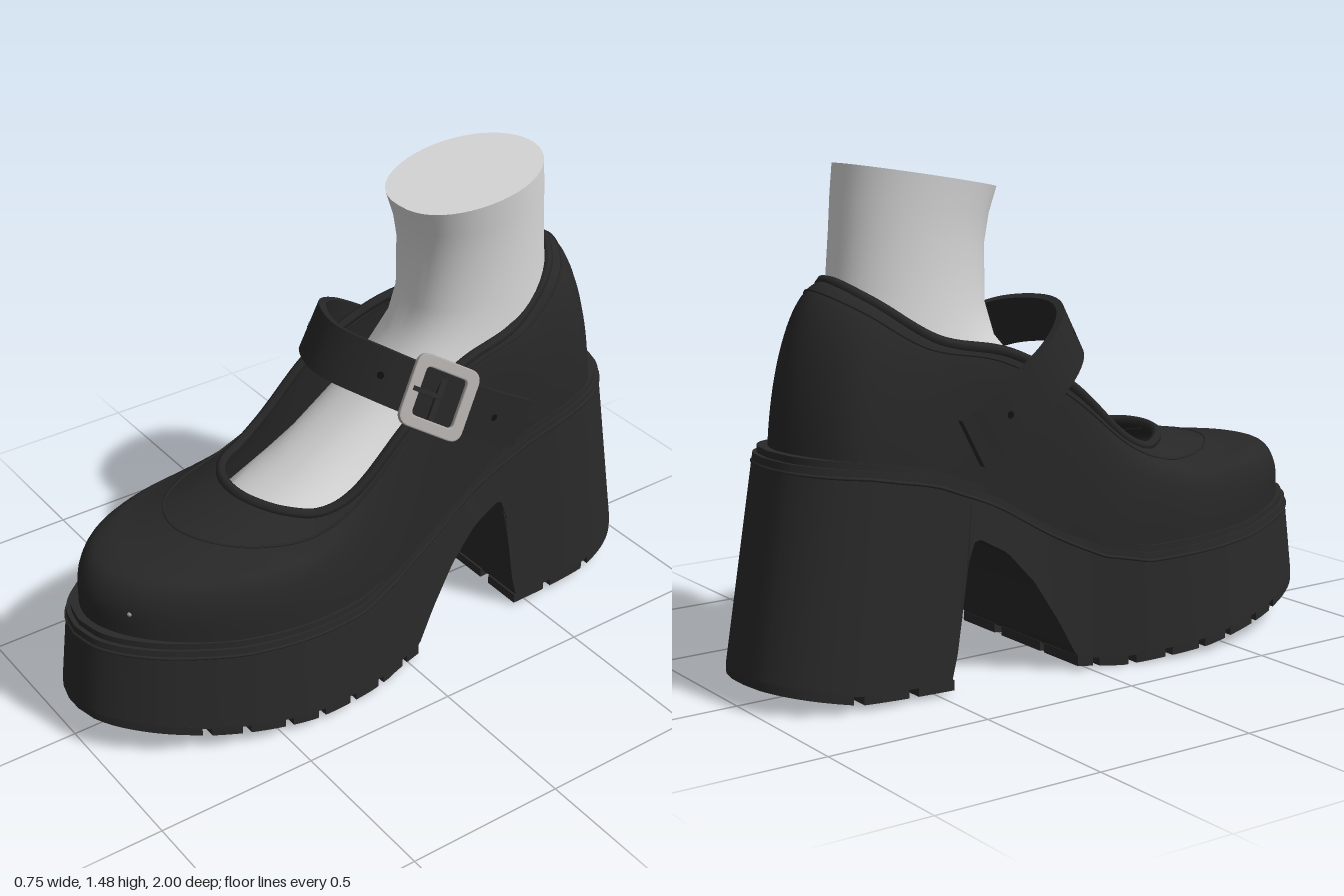
import * as THREE from 'three';
import { toCreasedNormals } from 'three/addons/utils/BufferGeometryUtils.js';

const V = (x, y, z) => new THREE.Vector3(x, y, z);
const lerp = THREE.MathUtils.lerp;

// Piecewise linear lookup in a sorted list of [x, y]
function lookup(table, x) {
  for (let i = 1; i < table.length; i++) {
    const [x0, y0] = table[i - 1], [x1, y1] = table[i];
    if (x <= x1) return lerp(y0, y1, Math.max(0, (x - x0) / (x1 - x0 || 1)));
  }
  return table[table.length - 1][1];
}

// Skin over closed rings, counterclockwise as seen from the last ring
function loft(rings, { caps = true, crease = 0.6 } = {}) {
  const n = rings[0].length, index = [];
  for (let i = 0; i < rings.length - 1; i++) {
    for (let j = 0; j < n; j++) {
      const a = i * n + j, b = i * n + (j + 1) % n;
      index.push(a, b, b + n, a, b + n, a + n);
    }
  }
  if (caps) {
    const e = (rings.length - 1) * n;
    for (let j = 1; j < n - 1; j++) index.push(0, j + 1, j, e, e + j, e + j + 1);
  }
  const geo = new THREE.BufferGeometry().setFromPoints(rings.flat());
  geo.setIndex(index);
  return toCreasedNormals(geo, crease);
}

// Sole plan (z, half width), top edge and underside (z, y)
const plan = new THREE.SplineCurve([
  [-1, 0], [-0.975, 0.11], [-0.9, 0.195], [-0.78, 0.245], [-0.6, 0.262], [-0.3, 0.265], [0, 0.305],
  [0.2, 0.355], [0.4, 0.374], [0.6, 0.342], [0.78, 0.27], [0.9, 0.19], [0.975, 0.1], [1, 0],
].map(p => new THREE.Vector2(...p))).getPoints(208).map(p => [p.x, Math.max(0, p.y)]);
const soleTop = [[-0.9, 0.69], [-0.7, 0.67], [-0.5, 0.63], [-0.3, 0.55], [-0.1, 0.43], [0.05, 0.36], [0.2, 0.33], [0.6, 0.345], [0.97, 0.385]];
const soleUnder = [[-1, 0.07], [-0.75, 0.02], [-0.45, 0.01], [-0.39, 0.4], [-0.36, 0.41], [-0.27, 0.36], [-0.18, 0.26],
  [-0.1, 0.13], [-0.04, 0.015], [0.1, 0], [0.4, 0.02], [0.7, 0.06], [1, 0.115]];
const topZ = z => z * (z > 0 ? 0.97 : 0.9);

// Upper: lower edge and opening rim, toe to heel on one side, then mirrored
const closedCurve = half => new THREE.CatmullRomCurve3(
  [...half, ...half.slice(1, -1).reverse().map(([x, y, z]) => [-x, y, z])].map(p => V(...p)), true, 'catmullrom', 0.5);
const lowerEdge = closedCurve([[0, 0.4, 0.93], [0.17, 0.395, 0.85], [0.29, 0.37, 0.65], [0.345, 0.345, 0.4], [0.32, 0.345, 0.15],
  [0.27, 0.43, -0.1], [0.245, 0.57, -0.35], [0.24, 0.655, -0.6], [0.19, 0.68, -0.77], [0, 0.69, -0.86]]);
const rim = closedCurve([[0, 0.645, 0.43], [0.09, 0.642, 0.41], [0.17, 0.63, 0.35], [0.225, 0.625, 0.26], [0.25, 0.68, 0.15],
  [0.25, 0.84, -0.03], [0.225, 0.95, -0.23], [0.2, 1.0, -0.45], [0.135, 1.11, -0.62], [0, 1.165, -0.69]]);
const toeProfile = new THREE.SplineCurve([[0, 0], [0.01, 0.35], [0.08, 0.6], [0.2, 0.7], [0.4, 0.74], [0.65, 0.83], [1, 1]]
  .map(p => new THREE.Vector2(...p)));

function upperPoint(t, s) {
  const b = lowerEdge.getPoint(t % 1), r = rim.getPoint(t % 1), a = s * Math.PI / 2;
  const toe = THREE.MathUtils.smoothstep(Math.cos(t * Math.PI * 2), 0, 0.9);
  const p = toeProfile.getPoint(s);
  const h = lerp(lerp(1 - Math.cos(a), s, 0.25), p.x, toe), v = lerp(Math.sin(a), p.y, toe);
  return V(lerp(b.x, r.x, h), lerp(b.y, r.y, v), lerp(b.z, r.z, h));
}

// Strap path and its cross directions
const strapPath = new THREE.CatmullRomCurve3([[-0.295, 0.72, -0.41], [-0.3, 0.81, -0.26], [-0.272, 0.91, -0.1], [-0.17, 0.98, 0.025],
  [0, 1.0, 0.085], [0.17, 0.98, 0.025], [0.272, 0.91, -0.1], [0.3, 0.81, -0.26], [0.295, 0.72, -0.41]].map(p => V(...p)));
function strapFrame(t) {
  const u = V(0, 0.88, -0.47), tangent = strapPath.getTangent(t);
  return { p: strapPath.getPoint(t), u, tangent, n: tangent.clone().cross(u).normalize() };
}

function roundedRect(target, w, h, r) {
  target.moveTo(-w + r, -h).lineTo(w - r, -h).quadraticCurveTo(w, -h, w, -h + r).lineTo(w, h - r).quadraticCurveTo(w, h, w - r, h)
    .lineTo(-w + r, h).quadraticCurveTo(-w, h, -w, h - r).lineTo(-w, -h + r).quadraticCurveTo(-w, -h, -w + r, -h);
  return target;
}

export function createModel() {
  const model = new THREE.Group();
  const leather = new THREE.MeshStandardMaterial({ name: 'blackLeather', color: 0x272727, side: THREE.DoubleSide });
  const rubber = new THREE.MeshStandardMaterial({ name: 'blackRubber', color: 0x292929 });
  const skin = new THREE.MeshStandardMaterial({ name: 'paleFoot', color: 0xd8d8d8 });
  const metal = new THREE.MeshStandardMaterial({ name: 'greyMetal', color: 0xaaa6a4 });
  const hole = new THREE.MeshStandardMaterial({ name: 'holeBlack', color: 0x101010 });
  const add = (name, geo, mat, parent = model) => {
    const mesh = new THREE.Mesh(geo, mat);
    mesh.name = name;
    parent.add(mesh);
    return mesh;
  };
  const ringTube = (name, points, radius, mat) =>
    add(name, new THREE.TubeGeometry(new THREE.CatmullRomCurve3(points, true), 200, radius, 6, true), mat);

  // Platform and heel in one piece
  add('platformSole', loft(plan.map(([z, w]) => {
    const y = lookup(soleUnder, z) + 0.025, zt = topZ(z), yt = lookup(soleTop, zt), wt = w * 0.955;
    return [V(-w, y, z), V(w, y, z), V(wt, yt, zt), V(-wt, yt, zt)];
  }), { caps: false }), rubber);
  add('welt', loft(plan.map(([z, w]) => {
    const zt = topZ(z) * 0.985, y = lookup(soleTop, zt), wt = w * 0.94;
    return [V(-wt, y - 0.01, zt), V(wt, y - 0.01, zt), V(wt, y + 0.02, zt), V(-wt, y + 0.02, zt)];
  }), { caps: false }), rubber);
  const edge = plan.filter((p, i) => i % 4 === 0).map(([z, w]) => V(w * 0.957, lookup(soleTop, topZ(z)) - 0.025, topZ(z) * 1.003));
  ringTube('soleSeam', [...edge, ...edge.slice(1, -1).reverse().map(p => V(-p.x, p.y, p.z))], 0.005, rubber);

  // Tread lugs between the grooves
  const treads = new THREE.Group();
  treads.name = 'treads';
  model.add(treads);
  const rows = [[-0.995, -0.77], [-0.74, -0.6], [-0.57, -0.45], [-0.04, 0.01], [0.03, 0.12], [0.145, 0.24], [0.265, 0.36],
    [0.385, 0.47], [0.495, 0.6], [0.625, 0.71], [0.735, 0.995]];
  for (const [z0, z1] of rows) {
    for (const [x0, x1] of [[-0.4, -0.13], [-0.11, 0.09], [0.13, 0.4]]) {
      const rings = [];
      for (let i = 0; i <= 16; i++) {
        const z = lerp(z0, z1, i / 16), w = lookup(plan, z), y = lookup(soleUnder, z);
        const a = THREE.MathUtils.clamp(x0, -w, w), b = THREE.MathUtils.clamp(x1, -w, w);
        rings.push([V(a, y, z), V(b, y, z), V(b, y + 0.03, z), V(a, y + 0.03, z)]);
      }
      add('lug', loft(rings), rubber, treads);
    }
  }

  // Upper with piping and seam
  const N = 120, rings = [];
  for (let k = 0; k <= 24; k++) rings.push(Array.from({ length: N }, (_, i) => upperPoint(i / N, k / 24)));
  add('upper', loft(rings, { caps: false, crease: 1.2 }), leather);
  const loop = s => Array.from({ length: 72 }, (_, i) => upperPoint(i / 72, s));
  ringTube('rimPiping', loop(1), 0.016, leather);
  ringTube('rimSeam', loop(0.8), 0.004, leather);

  // Foot and ankle: front z, y; back z, y; centre x; half width
  const footRings = [
    [0.5, 0.42, 0.0, 0.42, 0, 0.2], [0.5, 0.52, -0.3, 0.6, 0, 0.22], [0.36, 0.59, -0.62, 0.7, 0, 0.225],
    [0.24, 0.65, -0.7, 0.78, 0, 0.22], [0.08, 0.76, -0.73, 0.86, 0, 0.21], [-0.06, 0.87, -0.72, 0.95, 0.005, 0.2],
    [-0.16, 0.98, -0.68, 1.05, 0.01, 0.19], [-0.19, 1.08, -0.665, 1.15, 0.015, 0.184], [-0.19, 1.25, -0.65, 1.3, 0.017, 0.185],
    [-0.175, 1.33, -0.64, 1.4, 0.02, 0.193], [-0.15, 1.405, -0.63, 1.485, 0.02, 0.202],
  ];
  add('foot', loft(footRings.map(([fz, fy, bz, by, cx, rx]) => Array.from({ length: 48 }, (_, i) => {
    const a = i / 48 * Math.PI * 2, f = (1 - Math.sin(a)) / 2, c = Math.cos(a);
    const x = Math.sign(c) * Math.abs(c) ** (f > 0.5 ? 0.85 : 1);
    return V(cx + rx * x, lerp(by, fy, f), lerp(bz, fz, f));
  })), { crease: 0.9 }), skin);

  // Ankle strap with punched holes
  const strapRings = [];
  for (let i = 0; i <= 64; i++) {
    const { p, u, n } = strapFrame(i / 64);
    strapRings.push([[-1, -1], [1, -1], [1, 1], [-1, 1]].map(([a, b]) =>
      p.clone().addScaledVector(u, a * 0.078).addScaledVector(n, b * 0.012)));
  }
  add('strap', loft(strapRings), leather);
  for (const t of [0.1, 0.37, 0.63, 0.9]) {
    const { p, n } = strapFrame(t);
    const dot = add('strapHole', new THREE.CircleGeometry(0.011, 12), hole);
    dot.position.copy(p).addScaledVector(n, 0.0135);
    dot.quaternion.setFromUnitVectors(V(0, 0, 1), n);
  }

  // Buckle on the left side
  const buckle = new THREE.Group();
  buckle.name = 'buckle';
  const frame = roundedRect(new THREE.Shape(), 0.1, 0.105, 0.035);
  frame.holes.push(roundedRect(new THREE.Path(), 0.072, 0.077, 0.02));
  add('buckleFrame', new THREE.ExtrudeGeometry(frame, { depth: 0.012, bevelSize: 0.004, bevelThickness: 0.004, bevelSegments: 2 }), metal, buckle);
  add('buckleBar', new THREE.BoxGeometry(0.018, 0.17, 0.012), leather, buckle);
  add('bucklePin', new THREE.BoxGeometry(0.09, 0.014, 0.012), leather, buckle).position.set(-0.045, 0, 0.01);
  const { p, tangent } = strapFrame(0.75);
  const n = tangent.clone().cross(V(-0.3, 0.85, -0.43)).normalize();
  buckle.quaternion.setFromRotationMatrix(new THREE.Matrix4().makeBasis(tangent, n.clone().cross(tangent), n));
  buckle.position.copy(p).addScaledVector(n, 0.022);
  model.add(buckle);

  // Small stud on the toe
  add('toeStud', new THREE.SphereGeometry(0.011, 10, 8), metal).position.set(0.14, 0.47, 0.862);
  return model;
}
